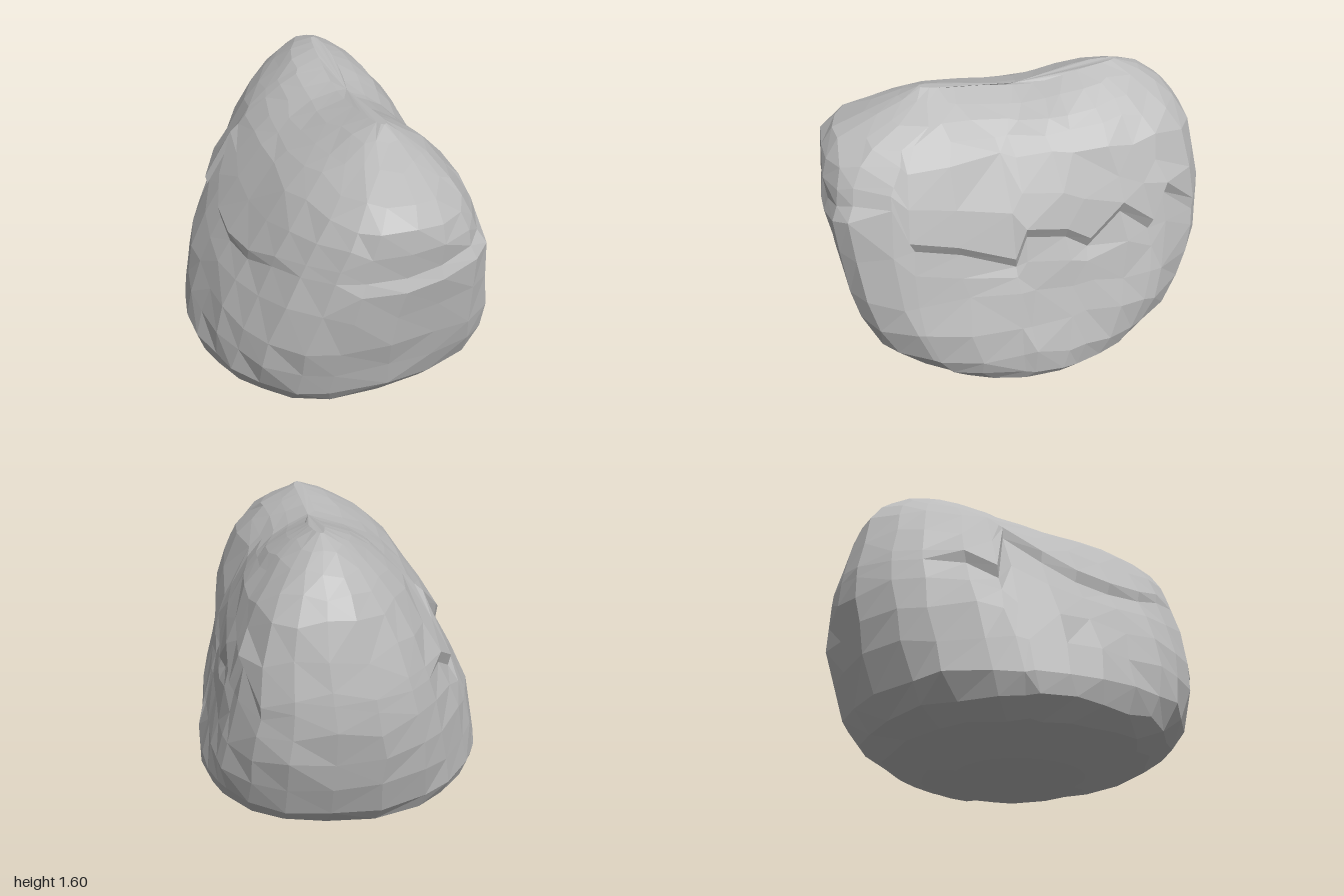
import * as THREE from 'three';

// Horizontal cross-sections: y, xMin, xMax, zMin, zMax
const SECTIONS = [
  [0, -0.35, 0.28, -0.35, 0.32], [0.03, -0.47, 0.62, -0.47, 0.47], [0.08, -0.66, 0.73, -0.66, 0.68],
  [0.16, -0.755, 0.775, -0.8, 0.79], [0.28, -0.78, 0.775, -0.885, 0.87], [0.45, -0.75, 0.73, -0.93, 0.91],
  [0.62, -0.7, 0.68, -0.98, 0.95], [0.8, -0.62, 0.64, -0.995, 0.975], [0.95, -0.555, 0.615, -0.985, 0.985],
  [1.1, -0.48, 0.59, -0.96, 0.99], [1.2, -0.42, 0.55, -0.925, 0.985], [1.3, -0.34, 0.51, -0.9, 0.97],
  [1.4, -0.24, 0.44, -0.84, 0.9], [1.48, -0.15, 0.38, -0.76, 0.73], [1.55, -0.05, 0.29, -0.66, 0.57],
  [1.6, 0.1, 0.19, -0.52, 0.48],
];

// Zigzag fracture round the rock: coordinate along a side, height of the upper lip, overhang
const LEFT_SIDE = [[0.89, 1.14, -0.015], [0.7, 1.2, 0.005], [0.62, 0.98, 0.02], [0.4, 0.93, 0.02], [0.13, 0.82, 0.02],
  [0.06, 0.97, 0.02], [-0.14, 0.94, 0.02], [-0.25, 0.87, 0.02], [-0.44, 1.03, 0.02], [-0.59, 0.9, 0.02],
  [-0.69, 1.08, 0.02], [-0.87, 0.9, 0.005]];
const RIGHT_SIDE = [[-0.75, 0.98, 0], [-0.57, 0.97, 0.02], [-0.43, 0.88, 0.02], [-0.37, 1.2, 0.02], [-0.18, 1.05, 0.02],
  [0, 0.96, 0.02], [0.2, 0.94, 0.02], [0.42, 0.97, 0.015], [0.6, 1.04, 0.01], [0.77, 1.08, 0]];
const FRONT_SIDE = [[-0.3, 1.1, 0], [-0.18, 1.04, -0.01], [0.02, 1.03, -0.015], [0.19, 1.06, -0.015],
  [0.36, 1.11, -0.015]];
const BACK_SIDE = [[0.3, 0.96, 0], [0.13, 1, 0], [-0.06, 0.95, 0], [-0.24, 0.99, 0]];

const mix = THREE.MathUtils.lerp;
const smooth = THREE.MathUtils.smoothstep;

function seeded(seed) {
  return () => {
    seed = (seed * 16807) % 2147483647;
    return seed / 2147483647;
  };
}

function sectionAt(y) {
  let i = 0;
  while (i < SECTIONS.length - 2 && SECTIONS[i + 1][0] < y) i++;
  const [a, b] = [SECTIONS[i], SECTIONS[i + 1]];
  const t = THREE.MathUtils.clamp((y - a[0]) / (b[0] - a[0]), 0, 1);
  return a.map((v, k) => mix(v, b[k], t));
}

// Squareness of each corner of a section: round underneath, full on the left, rounder on the right
function cornerPower(x, z, y) {
  const rise = smooth(y, 0.08, 0.6);
  if (x < 0) return z > 0 ? mix(2.1, 2.7, rise) : mix(2, 1.85, rise);
  const full = z > 0 ? mix(5, 2.8, smooth(y, 1, 1.4)) : mix(3.8, 3, smooth(y, 1.3, 1.55));
  return mix(2.1, full, rise);
}

// Point on the rock at an angle and height, pushed outward by `out`
function surfacePoint(angle, y, out) {
  const [, x0, x1, z0, z1] = sectionAt(y);
  const c = Math.cos(angle), s = Math.sin(angle);
  const power = cornerPower(c, s, y);
  const k = 1 / Math.pow(Math.abs(c) ** power + Math.abs(s) ** power, 1 / power);
  let x = (x0 + x1) / 2 + ((x1 - x0) / 2) * c * k + out * c;
  const z = (z0 + z1) / 2 + ((z1 - z0) / 2) * s * k + out * s;
  // groove between the two upper lobes, and the saddle in the ridge
  if (c > 0) x -= 0.06 * Math.exp(-(((z - 0.12) / 0.2) ** 2)) * smooth(y, 1, 1.35);
  const saddle = 0.09 * Math.exp(-((z / 0.3) ** 2)) + 0.03 * smooth(z, 0, 0.4);
  return new THREE.Vector3(x, y - saddle * smooth(y, 1.25, 1.6), z);
}

// Columns of vertices, placed so that the fracture corners fall on them
function makeColumns() {
  const columns = [];
  const add = (list, size, direction) => list.forEach(([p, lip, step]) => {
    const u = p / size;
    const [sx, sz] = direction(u, 1);
    const power = cornerPower(sx, sz, 1);
    const [x, z] = direction(u, Math.pow(1 - Math.abs(u) ** power, 1 / power));
    columns.push({ angle: Math.atan2(z, x), lip, step });
  });
  add(LEFT_SIDE, 0.98, (u, v) => [v, u]);
  add(RIGHT_SIDE, 0.98, (u, v) => [-v, u]);
  add(FRONT_SIDE, 0.54, (u, v) => [u, v]);
  add(BACK_SIDE, 0.57, (u, v) => [u, -v]);
  return columns.sort((a, b) => a.angle - b.angle);
}

function rockGeometry() {
  const random = seeded(4177);
  const columns = makeColumns();
  const n = columns.length;
  const grid = columns.map(({ angle, lip, step }) => {
    const low = lip - 0.065;
    // height, outward step, jitter
    const rows = [
      [0, 0, 0], [0.03, 0, 0.005], [0.08, 0, 0.012], [0.16, 0, 0.018], [0.28, 0, 0.018], [0.45, 0, 0.018],
      [0.62, 0, 0.018], [mix(0.62, low, 0.55), 0, 0.012], [low, -step, 0], [lip, step, 0],
      [mix(lip, 1.3, 0.5), 0, 0.012], [1.3, 0, 0.016], [1.4, 0, 0.016], [1.48, 0, 0.012],
      [1.55, 0, 0.006], [1.6, 0, 0],
    ];
    return rows.map(([y, out, jitter]) => {
      const turn = (random() - 0.5) * jitter * 2.5;
      const rise = (random() - 0.5) * jitter * 2.4;
      return surfacePoint(angle + turn, y + rise, out + (random() - 0.5) * jitter * 1.2);
    });
  });

  const position = [];
  const face = (...points) => points.forEach((p) => position.push(p.x, p.y, p.z));
  const last = grid[0].length - 1;
  const bottom = new THREE.Vector3(0, 0, 0);
  const top = new THREE.Vector3(0.145, 1.52, 0);
  for (let j = 0; j < n; j++) {
    const here = grid[j], next = grid[(j + 1) % n];
    for (let i = 0; i < last; i++) {
      const [a, b, c, d] = [here[i], next[i], next[i + 1], here[i + 1]];
      // split each facet along its shorter diagonal
      if (a.distanceTo(c) < b.distanceTo(d)) {
        face(a, d, c);
        face(a, c, b);
      } else {
        face(a, d, b);
        face(b, d, c);
      }
    }
    face(bottom, here[0], next[0]);
    face(top, next[last], here[last]);
  }

  const geometry = new THREE.BufferGeometry();
  geometry.setAttribute('position', new THREE.Float32BufferAttribute(position, 3));
  geometry.computeVertexNormals(); // unshared corners give flat facets
  return geometry;
}

export function createModel() {
  const stone = new THREE.MeshStandardMaterial({ color: 0xbababa, flatShading: true });
  stone.name = 'stone grey';
  const rock = new THREE.Mesh(rockGeometry(), stone);
  rock.name = 'boulder';
  const group = new THREE.Group();
  group.name = 'crackedBoulder';
  group.add(rock);
  return group;
}
